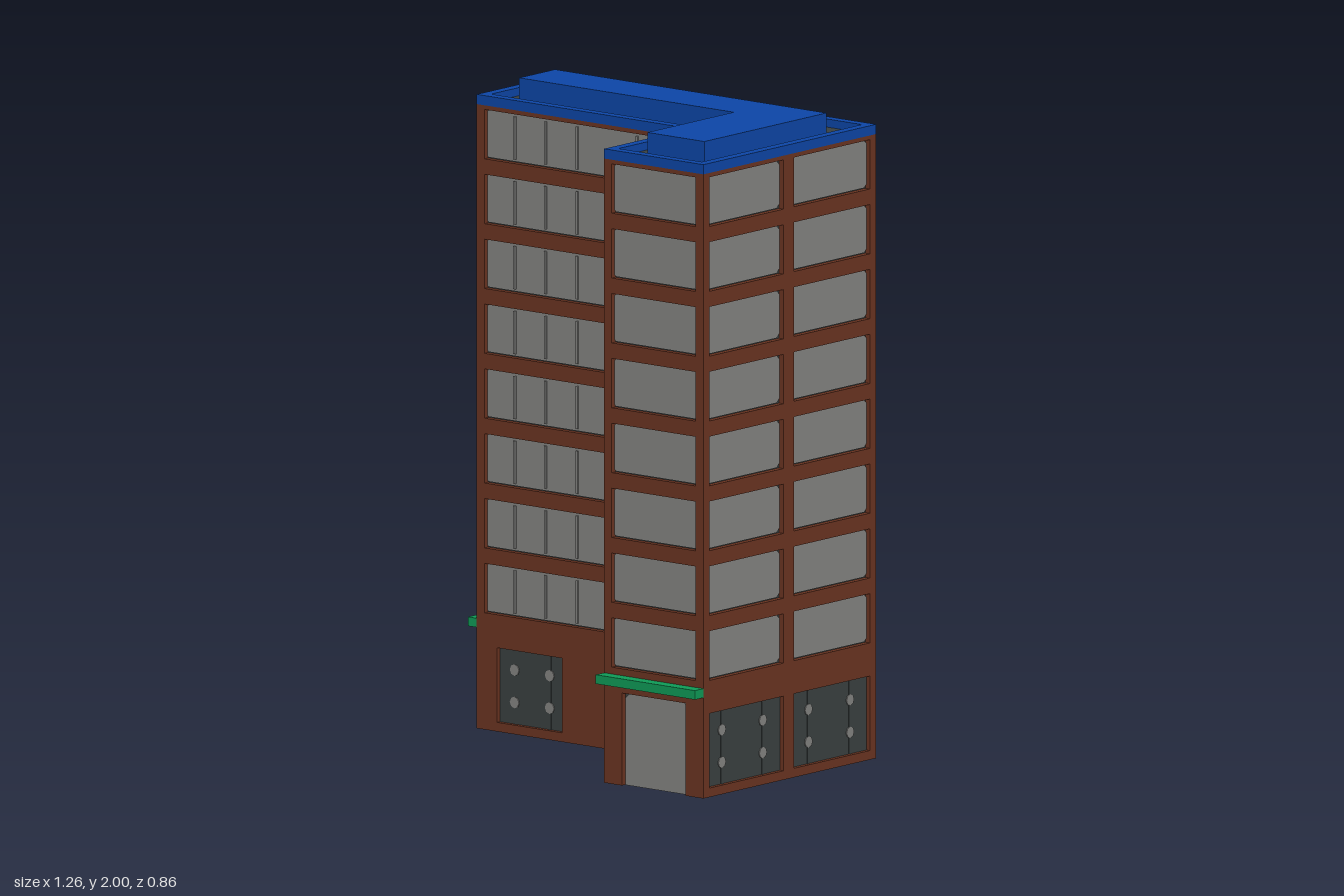
import * as THREE from 'three';

const mat = (name, color) => {
  const m = new THREE.MeshStandardMaterial({ color });
  m.name = name;
  return m;
};
const brick = mat('brick brown', 0x6d3522);
const glass = mat('window grey', 0x868684);
const dark = mat('dark slate', 0x3b4141);
const blue = mat('roof blue', 0x0d47a9);
const green = mat('canopy green', 0x0f9d58);

const WALL = 0.03, WALL_TOP = 1.925;

function add(parent, name, geometry, material, x = 0, y = 0, z = 0) {
  const mesh = new THREE.Mesh(geometry, material);
  mesh.name = name;
  mesh.position.set(x, y, z);
  parent.add(mesh);
  return mesh;
}

const box = (parent, name, material, w, h, d, x, y, z) =>
  add(parent, name, new THREE.BoxGeometry(w, h, d), material, x, y, z);

const polygon = (points) => new THREE.Shape(points.map(([x, y]) => new THREE.Vector2(x, y)));
const extrude = (shape, depth) => new THREE.ExtrudeGeometry(shape, { depth, bevelEnabled: false });

// Rectangle with clipped corners; the lower corners can stay square
function clippedRect(w, h, c, squareBase = false) {
  const a = w / 2, b = h / 2, k = squareBase ? 0 : c;
  const base = squareBase ? [[-a, -b], [a, -b]] : [[-a, -b + k], [-a + k, -b], [a - k, -b], [a, -b + k]];
  return polygon([...base, [a, b - c], [a - c, b], [-a + c, b], [-a, b - c]]);
}

// L-shaped footprint inset by d, drawn with y = -z
function footprint(d) {
  return [[-0.6 + d, 0.02 + d], [0.24 + d, 0.02 + d], [0.24 + d, -0.39 + d],
    [0.63 - d, -0.39 + d], [0.63 - d, 0.43 - d], [-0.6 + d, 0.43 - d]];
}

// Horizontal slab standing on height y
function slab(parent, name, material, shape, y, h) {
  add(parent, name, extrude(shape, h), material, 0, y, 0).rotation.x = -Math.PI / 2;
}

// Upper window: dark frame, clipped grey pane and optional slim mullions
function upperWindow(parent, [u0, u1], y0, y1, mullions) {
  const w = u1 - u0, h = y1 - y0, x = (u0 + u1) / 2, y = (y0 + y1) / 2;
  box(parent, 'windowFrame', dark, w, h, 0.004, x, y, -0.02);
  add(parent, 'windowPane', extrude(clippedRect(w - 0.006, h - 0.006, 0.012), 0.009), glass, x, y, -0.023);
  for (const u of mullions) box(parent, 'mullion', glass, 0.008, h - 0.02, 0.006, u, y, -0.012);
}

// Ground window: dark panel with four small octagonal lights, a grey bar on request
function groundWindow(parent, [u0, u1], y0, y1, bar) {
  const w = u1 - u0, x = (u0 + u1) / 2;
  box(parent, 'groundWindowPanel', dark, w, y1 - y0, 0.008, x, (y0 + y1) / 2, -0.018);
  for (const s of [-1, 1]) {
    const u = x + s * w * 0.27;
    for (const y of [0.095, 0.195]) {
      const light = add(parent, 'windowLight', new THREE.CylinderGeometry(0.018, 0.018, 0.014, 8), glass, u, y, -0.018);
      light.rotation.x = Math.PI / 2;
    }
    if (bar && s === 1) box(parent, 'windowBar', glass, 0.022, y1 - y0 - 0.02, 0.012, u, (y0 + y1) / 2, -0.018);
    else box(parent, 'groundMullion', dark, 0.01, y1 - y0, 0.012, u, (y0 + y1) / 2, -0.018);
  }
}

// Wall panel with real openings; its outer face is local z = 0
function wall(parent, { name, x, z, turn, length, bays, ground = [], door, bar, mullions = [] }) {
  const g = new THREE.Group();
  g.name = name;
  g.position.set(x, 0, z);
  g.rotation.y = turn * Math.PI / 2;
  parent.add(g);

  const a = length / 2, doorTop = 0.285;
  const notch = door ? [[-door, 0], [-door, doorTop], [door, doorTop], [door, 0]] : [];
  const shape = polygon([[-a, 0], ...notch, [a, 0], [a, WALL_TOP], [-a, WALL_TOP]]);
  const cut = ([u0, u1], y0, y1) =>
    shape.holes.push(new THREE.Path([[u0, y0], [u0, y1], [u1, y1], [u1, y0]].map((p) => new THREE.Vector2(...p))));

  for (const bay of bays) {
    for (let i = 0; i < 8; i++) {
      const y0 = 0.36 + 0.2 * i, y1 = y0 + 0.152;
      cut(bay, y0, y1);
      upperWindow(g, bay, y0, y1, mullions);
    }
  }
  for (const win of ground) {
    cut(win, 0.028, 0.258);
    groundWindow(g, win, 0.028, 0.258, bar);
  }
  if (door) {
    box(g, 'doorFrame', dark, door * 2, doorTop, 0.004, 0, doorTop / 2, -0.02);
    add(g, 'door', extrude(clippedRect(door * 2 - 0.004, doorTop - 0.003, 0.014, true), 0.01),
      glass, 0, (doorTop - 0.003) / 2, -0.024);
  }
  add(g, 'wallPanel', extrude(shape, WALL), brick, 0, 0, -WALL);
}

export function createModel() {
  const model = new THREE.Group();
  model.name = 'officeBuilding';

  // Six walls around the L-shaped plan
  const right = [[-0.39, -0.03], [0.02, 0.385]];
  const back = [[-0.59, -0.245], [-0.195, 0.595]];
  const inner = [[-0.175, 0.185]];
  const walls = [
    { name: 'frontWingWall', x: -0.18, z: -0.02, turn: 0, length: 0.84, bays: [[-0.4, 0.39]],
      ground: [[-0.34, -0.085], [0.08, 0.34]], mullions: [-0.28, -0.16, -0.035, 0.2, 0.305] },
    { name: 'frontArmWall', x: 0.435, z: 0.39, turn: 0, length: 0.39, bays: [[-0.175, 0.17]], door: 0.125 },
    { name: 'leftSideWall', x: 0.63, z: -0.02, turn: 1, length: 0.82, bays: right, ground: right },
    { name: 'backWall', x: 0.015, z: -0.43, turn: 2, length: 1.23, bays: back, ground: [back[0]], bar: true },
    { name: 'rightSideWall', x: -0.6, z: -0.225, turn: -1, length: 0.41, bays: [[-0.18, 0.185]], door: 0.125 },
    { name: 'courtWall', x: 0.24, z: 0.185, turn: -1, length: 0.41, bays: inner, ground: inner },
  ];
  for (const w of walls) wall(model, w);

  // Canopies over the two doors
  box(model, 'frontCanopy', green, 0.39, 0.028, 0.04, 0.435, 0.325, 0.41);
  box(model, 'sideCanopy', green, 0.035, 0.028, 0.41, -0.6175, 0.325, -0.225);

  // Roof: deck, parapet ring and raised penthouse
  slab(model, 'roofDeck', dark, polygon(footprint(0.015)), 1.915, 0.015);
  const rim = polygon(footprint(0));
  rim.holes.push(new THREE.Path(footprint(0.031).map((p) => new THREE.Vector2(...p))));
  slab(model, 'parapet', blue, rim, WALL_TOP, 0.03);
  slab(model, 'penthouse', blue, polygon([[-0.52, 0.125], [0.323, 0.125], [0.323, -0.285],
    [0.547, -0.285], [0.547, 0.295], [-0.52, 0.295]]), 1.925, 0.075);
  return model;
}
